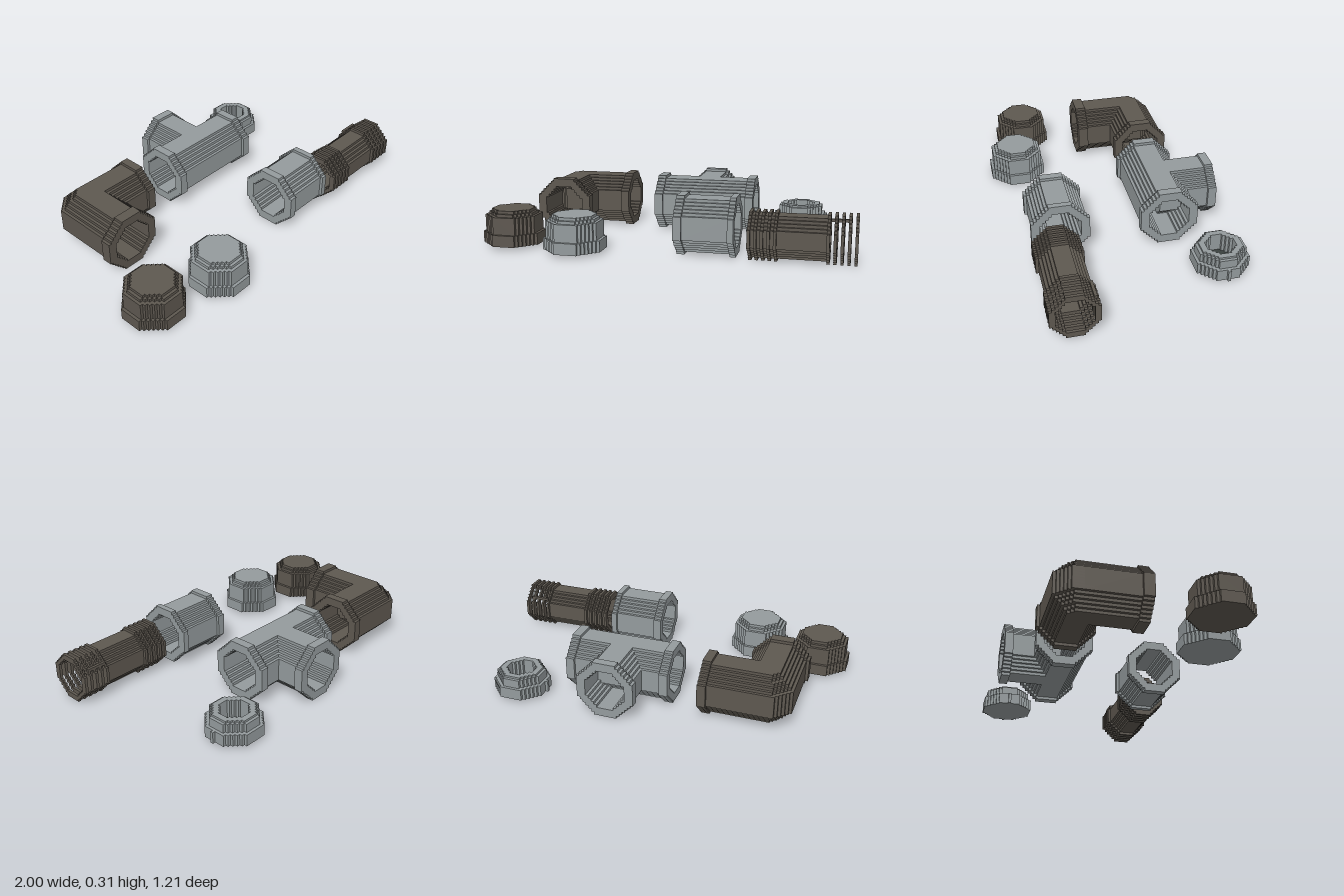
import * as THREE from 'three';

const V = 1 / 64; // step size of the blocky style

const grey = new THREE.MeshStandardMaterial({ color: 0x949b9d });
grey.name = 'light grey';
const brown = new THREE.MeshStandardMaterial({ color: 0x5e5850 });
brown.name = 'dark brown grey';
const black = new THREE.MeshStandardMaterial({ color: 0x39403e });
black.name = 'dark hole';

// Half length of the flat sides of a stepped octagon of radius r (in steps)
const flat = r => Math.max(1, Math.round(r * 0.42));

// Half width of a stepped octagon in the k-th row from its middle
const rowWidth = (r, k) => (k < flat(r) ? r : Math.max(0, r - (k - flat(r) + 1)));

// Outline of a stepped octagon
function octagon(r, PathType) {
  const quarter = [];
  let x = r, y = flat(r);
  quarter.push([x, y]);
  while (x > flat(r)) {
    quarter.push([--x, y]);
    quarter.push([x, ++y]);
  }
  const pts = [];
  for (let q = 0; q < 4; q++) {
    for (const [a, b] of quarter) {
      const [px, py] = [[a, b], [-b, a], [-a, -b], [b, -a]][q];
      pts.push(new THREE.Vector2(px * V, py * V));
    }
  }
  return new PathType(pts);
}

// Stepped octagonal prism or tube from a to b along an axis; c holds the centre
function tube(group, name, mat, axis, c, a, b, r, bore = 0) {
  const shape = octagon(r, THREE.Shape);
  if (bore > 0) shape.holes.push(octagon(bore, THREE.Path));
  const geo = new THREE.ExtrudeGeometry(shape, { depth: b - a, bevelEnabled: false });
  if (axis === 'x') geo.rotateY(Math.PI / 2);
  if (axis === 'y') geo.rotateX(-Math.PI / 2);
  const mesh = new THREE.Mesh(geo, mat);
  mesh.name = name;
  mesh.position.set(c[0], c[1], c[2]);
  mesh.position[axis] = a;
  group.add(mesh);
  return mesh;
}

function part(root, name) {
  const g = new THREE.Group();
  g.name = name;
  root.add(g);
  return g;
}

export function createModel() {
  const root = new THREE.Group();
  root.name = 'pipeFittings';
  const Y = 10 * V; // axis height of the large fittings

  // Elbow: two arms meeting at a chamfered corner
  const elbow = part(root, 'elbow');
  const e = [-0.68, Y, -0.302];
  tube(elbow, 'sideArm', brown, 'x', e, e[0], -0.39, 9, 7);
  tube(elbow, 'sideCollar', brown, 'x', e, -0.392, -0.345, 10, 7);
  tube(elbow, 'frontArm', brown, 'z', e, e[2], -0.015, 9, 7);
  tube(elbow, 'frontCollar', brown, 'z', e, -0.018, 0.04, 10, 7);
  for (let k = 0; k < 9; k++) {
    const inner = k < 7 ? rowWidth(7, k) : 0;
    for (const y of [Y + k * V, Y - (k + 1) * V]) {
      tube(elbow, 'cornerLayer', brown, 'y', e, y, y + V, rowWidth(9, k), inner);
    }
  }

  // Tee: long run with a branch to the back
  const tee = part(root, 'tee');
  const t = [0.113, Y, -0.268];
  tube(tee, 'run', grey, 'x', t, -0.13, 0.355, 9, 7);
  tube(tee, 'rightCollar', grey, 'x', t, -0.176, -0.129, 10, 7);
  tube(tee, 'leftCollar', grey, 'x', t, 0.354, 0.401, 10, 7);
  tube(tee, 'branch', grey, 'z', t, -0.53, -0.258, 9, 7);
  tube(tee, 'branchCollar', grey, 'z', t, -0.575, -0.528, 10, 7);

  // Straight coupling
  const coupling = part(root, 'coupling');
  const s = [0, Y, 0.318];
  tube(coupling, 'sleeve', grey, 'x', s, 0.11, 0.36, 9, 7);
  tube(coupling, 'rightCollar', grey, 'x', s, 0.073, 0.116, 10, 7);
  tube(coupling, 'leftCollar', grey, 'x', s, 0.354, 0.386, 10, 7);

  // Threaded pipe: raised rings at one end, free rings at the other
  const pipe = part(root, 'threadedPipe');
  const p = [0, 8 * V, 0.361];
  tube(pipe, 'barrel', brown, 'x', p, 0.457, 0.85, 7, 6);
  for (let i = 0; i < 5; i++) {
    const a = 0.455 + i * 0.033;
    tube(pipe, 'threadRing', brown, 'x', p, a, a + V, 8, 6);
    const b = 1 - V - i * 0.0343;
    tube(pipe, 'endRing', brown, 'x', p, b, b + V, 8, 6);
  }
  const strip = new THREE.Mesh(new THREE.BoxGeometry(0.11, V, V), brown);
  strip.name = 'ringStrip';
  strip.position.set(0.91, 0.195, 0.257);
  pipe.add(strip);

  // End caps with stepped tops
  for (const [name, mat, x, z] of [['darkCap', brown, -0.844, 0.362], ['lightCap', grey, -0.465, 0.442]]) {
    const cap = part(root, name);
    const levels = [[10, 1, 5], [9, 5, 11], [8, 11, 12], [7, 12, 13]];
    for (const [r, lo, hi] of levels) tube(cap, 'capTier', mat, 'y', [x, 0, z], lo * V, hi * V, r);
  }

  // Nut with a blind hole and two side nubs
  const nut = part(root, 'nut');
  const n = [0.65, 0, -0.468];
  tube(nut, 'base', grey, 'y', n, V, 2 * V, 9);
  tube(nut, 'flange', grey, 'y', n, 2 * V, 5 * V, 9, 5);
  tube(nut, 'shoulder', grey, 'y', n, 5 * V, 8 * V, 8, 5);
  tube(nut, 'rim', grey, 'y', n, 8 * V, 8.7 * V, 7, 5);
  tube(nut, 'holeFloor', black, 'y', n, 2 * V, 2 * V + 0.005, 5);
  const nubs = new THREE.Mesh(new THREE.BoxGeometry(20 * V, 4 * V, V), grey);
  nubs.name = 'nub';
  for (const side of [-1, 1]) {
    const nub = new THREE.Mesh(new THREE.BoxGeometry(V, 4 * V, V), grey);
    nub.name = 'nub';
    nub.position.set(n[0] + side * 9.5 * V, 3 * V, n[2]);
    nut.add(nub);
  }

  return root;
}
